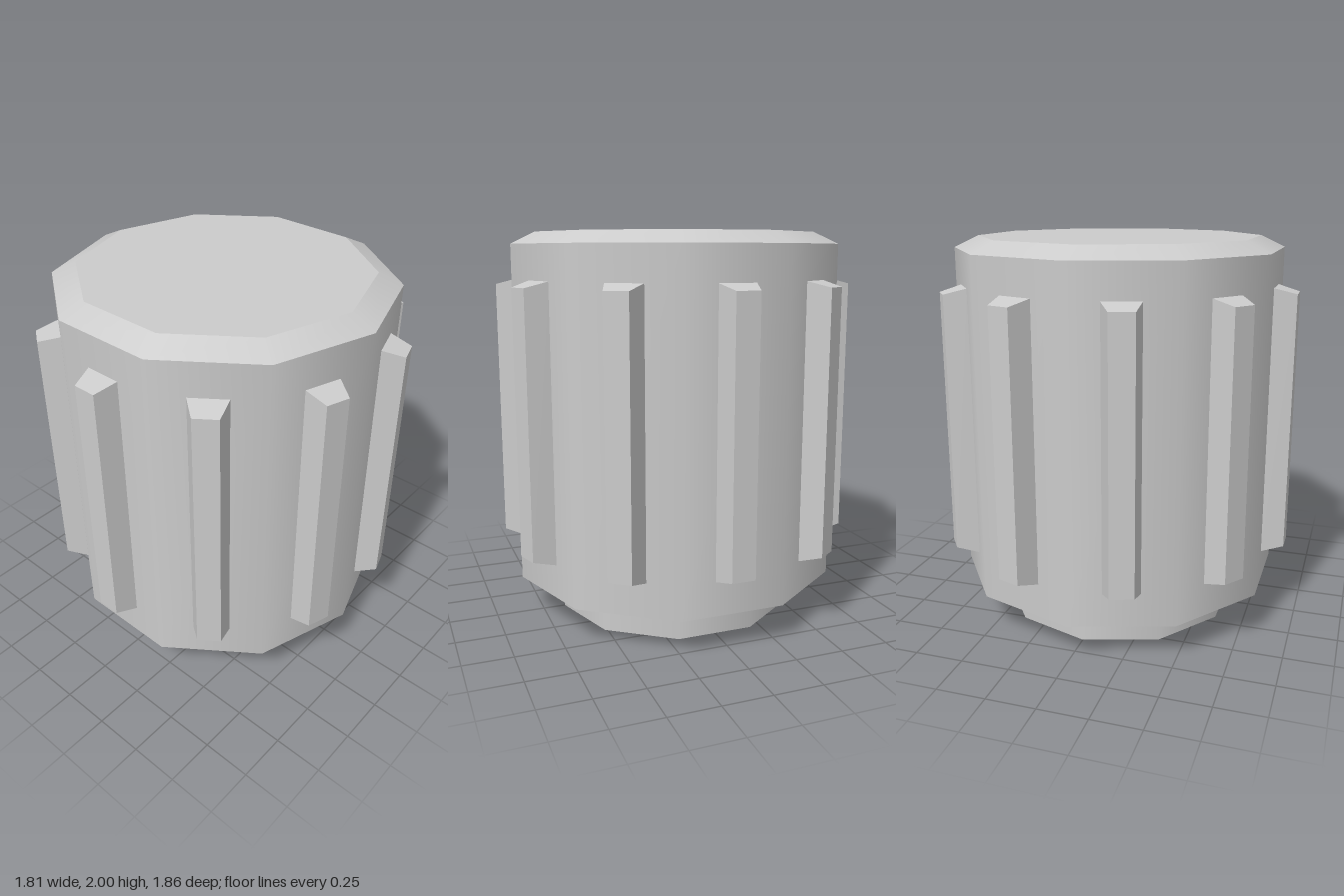
import * as THREE from 'three';

const SIDES = 10;
const APOTHEM = 0.815; // distance from the axis to a flat of the body

const material = new THREE.MeshStandardMaterial({ color: 0xcccccc });

// Ten-sided section with a corner on +x and flats facing front and back
function section(name, rTop, rBottom, y0, y1) {
  const geometry = new THREE.CylinderGeometry(rTop, rBottom, y1 - y0, SIDES, 1, false, Math.PI / 2);
  const mesh = new THREE.Mesh(geometry, material);
  mesh.name = name;
  mesh.position.y = (y0 + y1) / 2;
  return mesh;
}

// Upright bar whose outer face is smaller than its base
function ribGeometry() {
  const depth = 0.115;
  const geometry = new THREE.BoxGeometry(2, 2, 1).toNonIndexed();
  const p = geometry.attributes.position;
  for (let i = 0; i < p.count; i++) {
    const outer = p.getZ(i) > 0;
    p.setXYZ(
      i,
      p.getX(i) * (outer ? 0.06 : 0.094),
      1.068 + p.getY(i) * (outer ? 0.668 : 0.698),
      APOTHEM + (outer ? depth : 0)
    );
  }
  geometry.computeVertexNormals();
  return geometry;
}

export function createModel() {
  const model = new THREE.Group();
  model.name = 'knob';

  // Base plug, main body and bevelled cap
  model.add(section('stem', 0.635, 0.635, 0, 0.197));
  model.add(section('body', 0.86, 0.86, 0.197, 1.94));
  model.add(section('bevelledTop', 0.735, 0.86, 1.94, 2));

  // One grip rib on each flat
  const grip = new THREE.Group();
  grip.name = 'gripRibs';
  const geometry = ribGeometry();
  for (let i = 0; i < SIDES; i++) {
    const rib = new THREE.Mesh(geometry, material);
    rib.name = 'gripRib';
    rib.rotation.y = (i / SIDES) * Math.PI * 2;
    grip.add(rib);
  }
  model.add(grip);

  return model;
}
